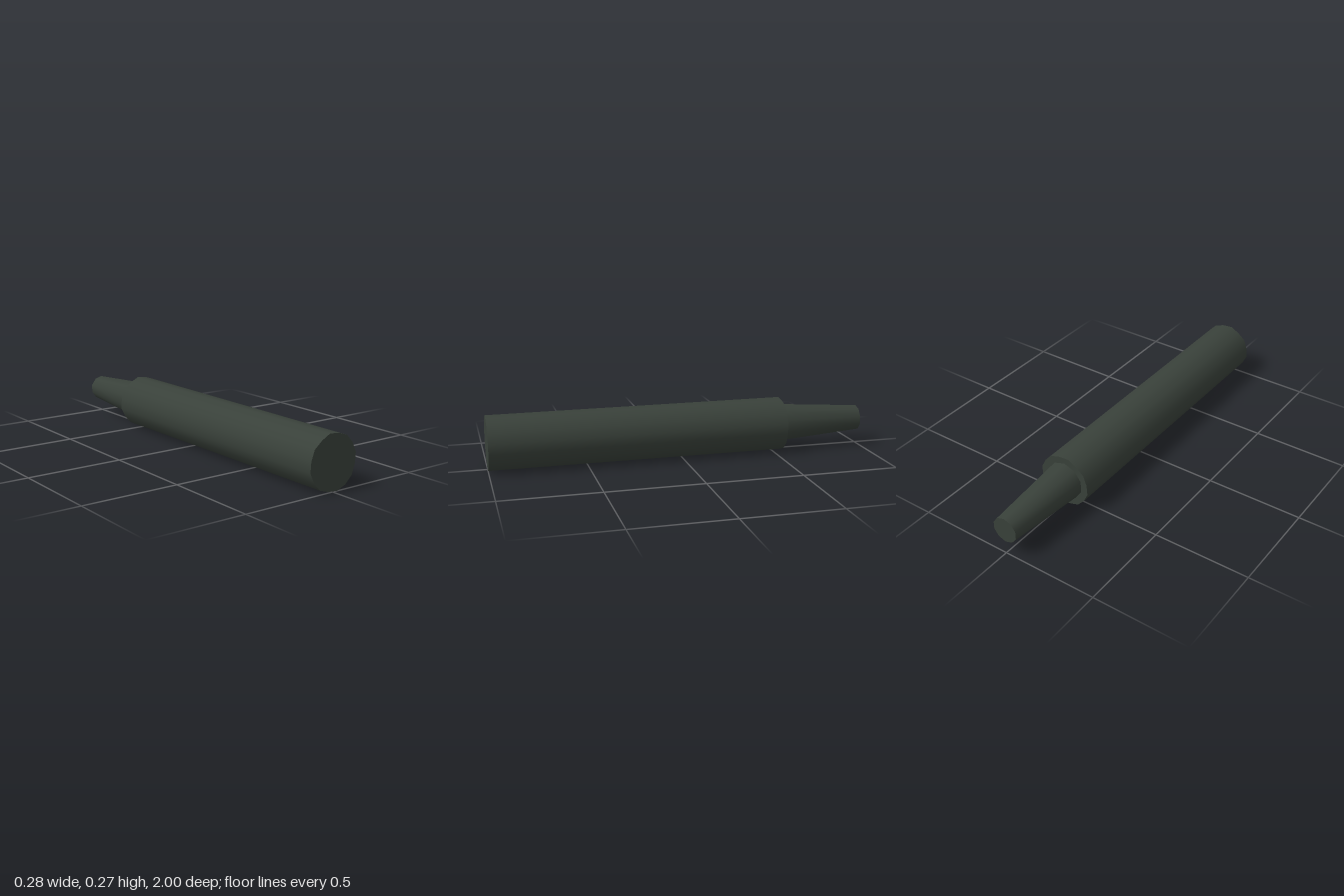
import * as THREE from 'three';

// Cylinder lying along z, with its first radius at the +z end
function rod(name, frontRadius, backRadius, sides, thetaStart, zFront, zBack, material) {
  const geometry = new THREE.CylinderGeometry(frontRadius, backRadius, zFront - zBack, sides, 1, false, thetaStart);
  geometry.rotateX(Math.PI / 2);
  const mesh = new THREE.Mesh(geometry, material);
  mesh.name = name;
  mesh.position.z = (zFront + zBack) / 2;
  return mesh;
}

export function createModel() {
  const group = new THREE.Group();
  group.name = 'taperedRod';
  const darkMetal = new THREE.MeshStandardMaterial({ color: 0x39413a });
  darkMetal.name = 'dark green grey';

  // Main barrel, slightly out of round: one radius per corner, from the bottom towards +x
  const radii = [0.14, 0.14, 0.14, 0.1365, 0.14, 0.1365, 0.139, 0.135,
    0.14, 0.135, 0.14, 0.1375, 0.141, 0.138, 0.14, 0.135];
  const sides = radii.length;
  const barrel = rod('barrel', 1, 1, sides, Math.PI / sides, 1, -0.555, darkMetal);
  const p = barrel.geometry.attributes.position;
  for (let i = 0; i < p.count; i++) {
    const x = p.getX(i), y = p.getY(i);
    if (Math.hypot(x, y) < 0.5) continue; // cap centre
    const turn = Math.atan2(x, -y) / (2 * Math.PI) - 0.5 / sides;
    const r = radii[(Math.round(turn * sides) + sides) % sides];
    p.setXY(i, x * r, y * r);
  }
  barrel.position.y = 0.14;
  group.add(barrel);

  // Narrow tapered tail
  const tail = rod('tail', 0.102, 0.068, 10, 0, -0.55, -1, darkMetal);
  tail.position.x = -0.003;
  tail.position.y = 0.142;
  group.add(tail);

  return group;
}
